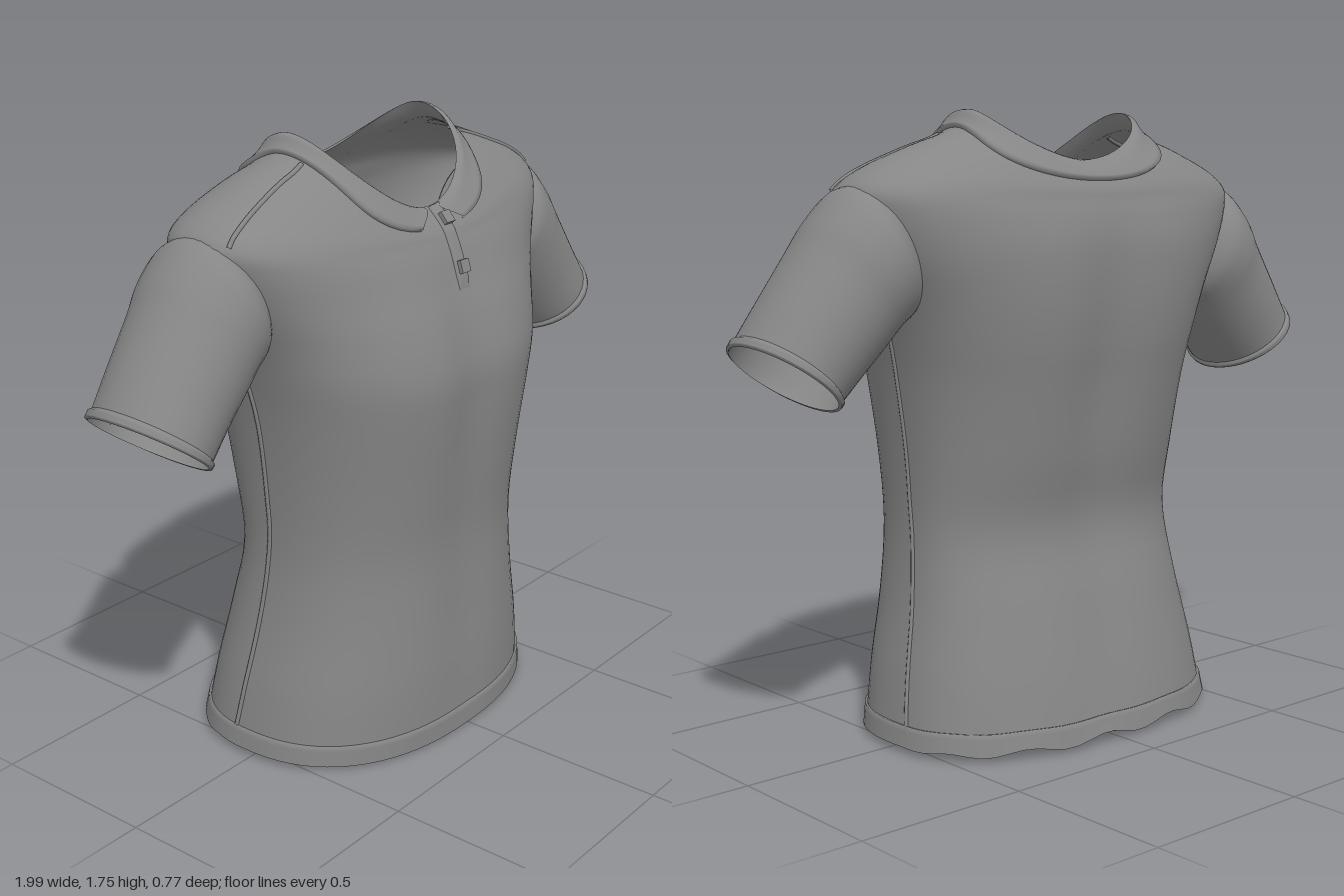
import * as THREE from 'three';

const cloth = new THREE.MeshStandardMaterial({ color: 0x868686, side: THREE.DoubleSide });
cloth.name = 'grey cloth';

// Torso rings, hem to neckline: half width, side y, side z, front y, front z, back y, back z, centre dip
const TORSO = [
  [0.54, 0.02, -0.03, 0.004, 0.365, 0.025, -0.38, 0],
  [0.51, 0.20, -0.02, 0.20, 0.367, 0.20, -0.345, 0.01],
  [0.47, 0.40, -0.01, 0.40, 0.36, 0.40, -0.295, 0.015],
  [0.45, 0.60, 0, 0.60, 0.355, 0.60, -0.245, 0.015],
  [0.46, 0.80, 0, 0.80, 0.375, 0.80, -0.28, 0.02],
  [0.487, 1.00, 0, 1.00, 0.398, 1.00, -0.315, 0.03],
  [0.52, 1.14, -0.01, 1.12, 0.40, 1.12, -0.335, 0.03],
  [0.56, 1.25, -0.02, 1.25, 0.365, 1.25, -0.345, 0.025],
  [0.62, 1.36, -0.03, 1.35, 0.32, 1.38, -0.34, 0.015],
  [0.67, 1.47, -0.03, 1.42, 0.287, 1.46, -0.32, 0.005],
  [0.68, 1.54, -0.03, 1.46, 0.265, 1.51, -0.30, 0],
  [0.60, 1.60, -0.03, 1.48, 0.255, 1.54, -0.29, 0],
  [0.45, 1.66, -0.04, 1.505, 0.235, 1.57, -0.27, 0],
  [0.33, 1.70, -0.04, 1.52, 0.22, 1.59, -0.25, 0],
  [0.285, 1.755, -0.05, 1.54, 0.20, 1.62, -0.21, 0],
];
// Sleeve rings, shoulder to cuff: top x, top y, bottom x, bottom y, depth radius, centre z
const SLEEVE = [
  [0.62, 1.55, 0.50, 1.20, 0.15, -0.03],
  [0.69, 1.545, 0.535, 1.185, 0.19, -0.03],
  [0.765, 1.475, 0.565, 1.165, 0.195, -0.03],
  [0.82, 1.40, 0.61, 1.115, 0.187, -0.025],
  [0.91, 1.275, 0.68, 1.045, 0.18, -0.02],
  [0.968, 1.19, 0.735, 0.99, 0.178, -0.015],
  [0.992, 1.153, 0.757, 0.972, 0.178, -0.015],
];

// Smoothly interpolated ring values at a fractional row
function rowAt(rows, v) {
  const last = rows.length - 1;
  v = Math.min(last, Math.max(0, v));
  const i = Math.min(last - 1, Math.floor(v)), t = v - i;
  const r = (k) => rows[Math.min(last, Math.max(0, k))];
  return rows[0].map((_, j) => {
    const [a, b, c, d] = [r(i - 1)[j], r(i)[j], r(i + 1)[j], r(i + 2)[j]];
    return b + 0.5 * t * (c - a + t * (2 * a - 5 * b + 4 * c - d + t * (3 * (b - c) + d - a)));
  });
}

// Point on the torso; angle 0 faces the front, a quarter turn is +x
function torso(a, v) {
  const [w, ys, zs, yf, zf, yb, zb, dip] = rowAt(TORSO, v);
  const s = Math.sin(a), c = Math.cos(a), n = 2.4;
  const r = (Math.abs(s) ** n + Math.abs(c) ** n) ** (-1 / n);
  const x = w * r * s;
  const z = zs + (c > 0 ? zf - zs : zs - zb) * r * c - Math.sign(c) * dip * Math.exp(-((x / 0.12) ** 2)) * Math.abs(c);
  const ripple = 0.01 * Math.sin(13 * a) * Math.max(0, -c) * Math.max(0, 1 - 2 * v);
  return new THREE.Vector3(x, ys * s * s + (c > 0 ? yf : yb) * c * c + ripple, z);
}

// Point on a sleeve; side is 1 or -1
const sleeveSurface = (side) => (a, v) => {
  const [tx, ty, bx, by, zr, zc] = rowAt(SLEEVE, v);
  const c = Math.cos(a), s = Math.sin(side * a);
  return new THREE.Vector3(side * ((tx + bx) / 2 + c * (tx - bx) / 2), (ty + by) / 2 + c * (ty - by) / 2, zc + zr * s);
};

function normalAt(surface, a, v) {
  const e = 0.02;
  const du = surface(a + e, v).sub(surface(a - e, v));
  const dv = surface(a, v + e).sub(surface(a, v - e));
  return du.cross(dv).normalize();
}
const raised = (surface, a, v, d) => surface(a, v).addScaledVector(normalAt(surface, a, v), d);

// Grid mesh over u, v in 0..1; closed joins the u ends, skip leaves holes
function patch(name, fn, nu, nv, closed = false, skip = () => false) {
  const pos = [], index = [], cols = closed ? nu : nu + 1;
  for (let j = 0; j <= nv; j++)
    for (let i = 0; i < cols; i++) pos.push(...fn(i / nu, j / nv).toArray());
  for (let j = 0; j < nv; j++)
    for (let i = 0; i < nu; i++) {
      if (skip((i + 0.5) / nu, (j + 0.5) / nv)) continue;
      const k = (i + 1) % cols, a = j * cols + i, b = j * cols + k, c = a + cols, d = b + cols;
      index.push(a, b, d, a, d, c);
    }
  const g = new THREE.BufferGeometry();
  g.setAttribute('position', new THREE.Float32BufferAttribute(pos, 3));
  g.setIndex(index);
  g.computeVertexNormals();
  const mesh = new THREE.Mesh(g, cloth);
  mesh.name = name;
  return mesh;
}

// Raised seam along a path on the torso
function seam(name, pathFn, count) {
  const pts = Array.from({ length: count + 1 }, (_, i) => torso(...pathFn(i / count)));
  const mesh = new THREE.Mesh(new THREE.TubeGeometry(new THREE.CatmullRomCurve3(pts), count * 3, 0.007, 6), cloth);
  mesh.name = name;
  return mesh;
}

export function createModel() {
  const model = new THREE.Group();
  model.name = 'poloShirt';
  const TAU = Math.PI * 2, top = TORSO.length - 1, end = SLEEVE.length - 1;
  const mix = THREE.MathUtils.lerp;

  // Body, open at neck, hem and armholes
  model.add(patch('body', (u, v) => torso(u * TAU, v * top), 80, top * 4, true,
    (u, v) => Math.abs(Math.sin(u * TAU)) > 0.94 && v * top > 7.2 && v * top < 9));

  // Hem band
  model.add(patch('hemBand', (u, v) => raised(torso, u * TAU, Math.min(1, v * 1.2) * 0.4, v > 0.9 ? 0 : 0.007),
    80, 6, true));

  // Folded collar with two front points, closed at its outer edge
  model.add(patch('collar', (u, t) => {
    const k = Math.min(1, (1 - t) / 0.9), tt = t < 0.1 ? 1 : k;
    const a0 = 0.07 + 0.1 * tt;
    const a = mix(a0, TAU - a0, u), c = Math.cos(a);
    const low = c > 0 ? 13.1 - 1.8 * c ** 4 : 13.1 - 1.4 * c * c;
    return raised(torso, a, mix(top, low, tt), t < 0.05 ? 0 : 0.013 * Math.min(1, tt * 4));
  }, 72, 10));

  // Button placket
  const xAngle = (x, row) => x / rowAt(TORSO, row)[0];
  model.add(patch('placket', (u, v) => {
    const row = mix(7.7, 13.8, v);
    const edge = u === 0 || u === 1 || v === 0;
    return raised(torso, xAngle(mix(0, 0.046, u), row), row, edge ? 0 : 0.008);
  }, 8, 16));

  // Buttons
  for (const row of [8.4, 11.9]) {
    const a = xAngle(0.025, row);
    const button = new THREE.Mesh(new THREE.BoxGeometry(0.036, 0.036, 0.016), cloth);
    button.name = 'button';
    button.position.copy(raised(torso, a, row, 0.012));
    button.quaternion.setFromUnitVectors(new THREE.Vector3(0, 0, 1), normalAt(torso, a, row));
    model.add(button);
  }

  for (const side of [1, -1]) {
    const label = side > 0 ? 'left' : 'right';
    const surface = sleeveSurface(side);
    // Sleeve and its cuff
    model.add(patch(label + 'Sleeve', (u, v) => surface(u * TAU, v * end), 40, end * 4, true));
    model.add(patch(label + 'Cuff', (u, v) => raised(surface, u * TAU, mix(end - 0.8, end, v), v === 0 || v === 1 ? 0 : 0.008),
      40, 6, true));
    // Shoulder and side seams
    model.add(seam(label + 'ShoulderSeam', (t) => [side * mix(1.3, 1.22, t), mix(13, 10.1, t)], 8));
    model.add(seam(label + 'SideSeam', (t) => [side * mix(1.7, 1.55, Math.min(1, t * 2)), t * 6.8], 14));
  }
  return model;
}
